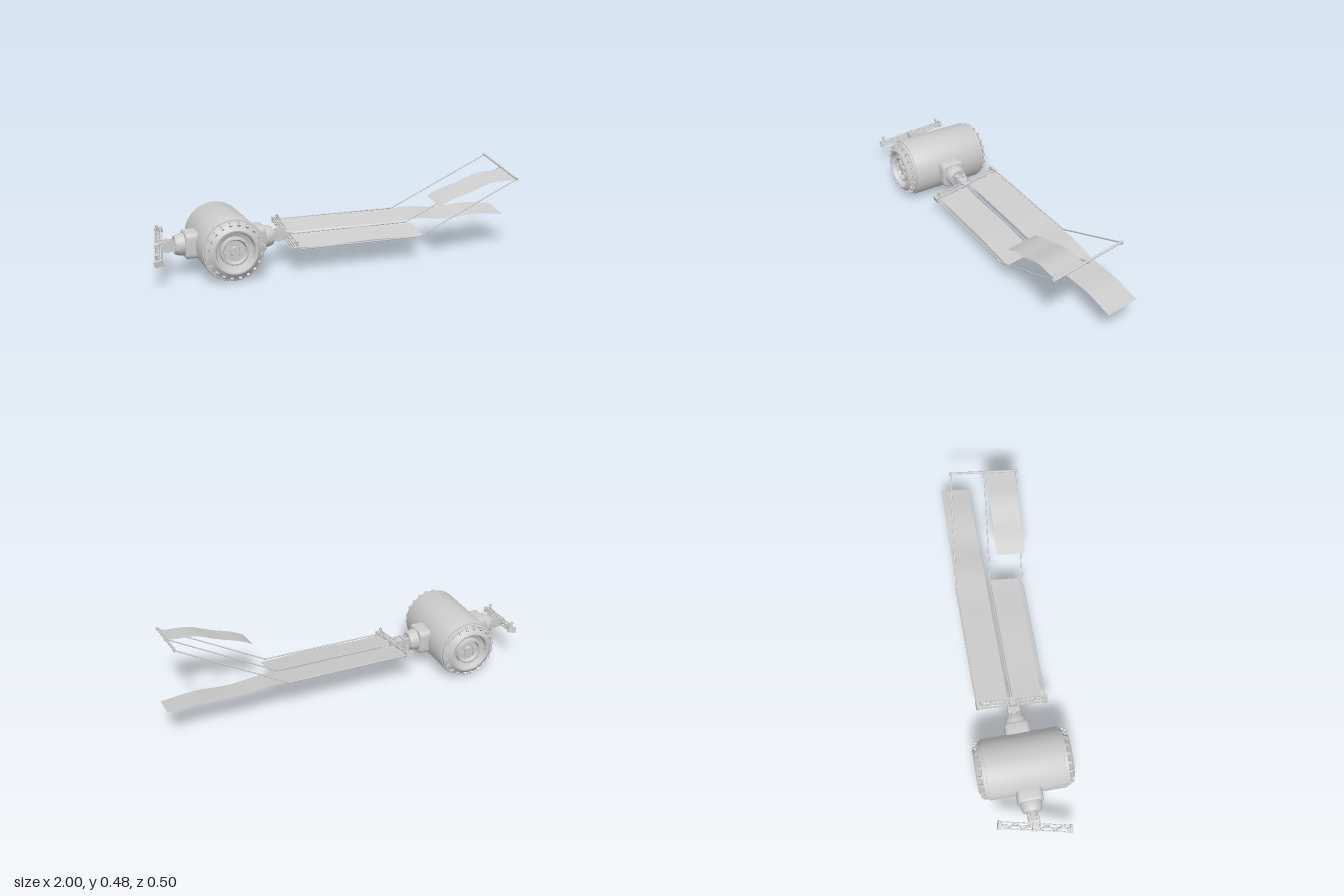
import * as THREE from 'three';
import { toCreasedNormals } from 'three/addons/utils/BufferGeometryUtils.js';

const mat = new THREE.MeshStandardMaterial({ color: 0xcccccc, side: THREE.DoubleSide });
const CY = 0.157, BX = -0.61, TILT = 0.19;
const V = (x, y, z) => new THREE.Vector3(x, y, z);

function add(parent, name, geo, x = 0, y = 0, z = 0) {
  const m = new THREE.Mesh(geo, mat);
  m.name = name;
  m.position.set(x, y, z);
  parent.add(m);
  return m;
}
const box = (w, h, d) => new THREE.BoxGeometry(w, h, d);

// Round bar between two points
function bar(parent, name, a, b, r, sides = 8) {
  const d = b.clone().sub(a);
  const m = add(parent, name, new THREE.CylinderGeometry(r, r, d.length(), sides));
  m.position.copy(a).add(b).multiplyScalar(0.5);
  m.quaternion.setFromUnitVectors(V(0, 1, 0), d.normalize());
  return m;
}

function lathe(points, sides = 64) {
  const g = new THREE.LatheGeometry(points.map(p => new THREE.Vector2(p[0], p[1])), sides);
  return toCreasedNormals(g, 0.6).rotateX(Math.PI / 2);
}

// Square with rounded corners, extruded along +x
function roundedBlock(half, corner, depth, bevel) {
  const s = new THREE.Shape(), h = half - bevel, c = corner;
  s.moveTo(-h + c, -h);
  s.lineTo(h - c, -h); s.quadraticCurveTo(h, -h, h, -h + c);
  s.lineTo(h, h - c); s.quadraticCurveTo(h, h, h - c, h);
  s.lineTo(-h + c, h); s.quadraticCurveTo(-h, h, -h, h - c);
  s.lineTo(-h, -h + c); s.quadraticCurveTo(-h, -h, -h + c, -h);
  const g = new THREE.ExtrudeGeometry(s, { depth: depth - 2 * bevel, bevelSize: bevel, bevelThickness: bevel, bevelSegments: 3, curveSegments: 6 });
  return toCreasedNormals(g.translate(0, 0, bevel), 0.7).rotateY(Math.PI / 2);
}

// Domed end with stepped docking ring, clamps and hatch, facing +z
function endCap(name) {
  const g = new THREE.Group();
  g.name = name;
  add(g, 'dockingRing', lathe([[0.148, 0.198], [0.148, 0.212], [0.137, 0.217], [0.122, 0.234], [0.108, 0.243], [0.1, 0.241],
    [0.092, 0.218], [0.073, 0.21], [0.07, 0.228], [0.061, 0.23], [0.053, 0.213], [0, 0.213]]));
  for (let i = 0; i < 20; i++) {
    const pivot = new THREE.Group();
    pivot.name = 'clamp';
    pivot.rotation.z = (i + 0.5) * Math.PI / 10;
    const c = add(pivot, 'clampBlock', box(0.013, 0.022, 0.01), 0, 0.131, 0.226);
    c.rotation.x = 0.8;
    add(pivot, 'clampFoot', box(0.009, 0.008, 0.016), 0, 0.143, 0.217);
    g.add(pivot);
  }
  // Hatch
  const hub = add(g, 'hatchHub', new THREE.CylinderGeometry(0.022, 0.026, 0.014, 20), 0, 0, 0.22);
  hub.rotation.x = Math.PI / 2;
  for (let i = 0; i < 3; i++) {
    const arm = add(g, 'hatchArm', box(0.1, 0.008, 0.008), 0, 0, 0.218);
    arm.rotation.z = i * Math.PI / 3 + 0.2;
  }
  for (const s of [-1, 1]) add(g, 'hatchHandle', box(0.006, 0.045, 0.008), s * 0.024, 0, 0.228);
  return g;
}

// Housing, collar and rotating joint, pointing along +x from the body axis
function sideHub(name, jointEnd) {
  const g = new THREE.Group();
  g.name = name;
  add(g, 'housing', roundedBlock(0.066, 0.022, 0.1, 0.008), 0.105);
  add(g, 'collar', lathe([[0.056, 0.2], [0.056, 0.225], [0.05, 0.243], [0.046, 0.252], [0.036, 0.252], [0.033, 0.238], [0, 0.238]], 32).rotateY(Math.PI / 2));
  bar(g, 'jointShaft', V(0.235, 0, 0), V(jointEnd, 0, 0), 0.016, 16);
  const mid = (0.245 + jointEnd) / 2, len = jointEnd - 0.245;
  for (const s of [-1, 1]) {
    add(g, 'jointCheek', box(len, 0.05, 0.006), mid, 0, s * 0.025);
    add(g, 'jointBridge', box(0.012, 0.006, 0.056), mid, s * 0.027, 0);
  }
  const drum = add(g, 'jointDrum', new THREE.CylinderGeometry(0.021, 0.021, 0.06, 16), mid + 0.01);
  drum.rotation.x = Math.PI / 2;
  return g;
}

// Lattice crossbeam running along z
function crossbeam(name) {
  const g = new THREE.Group();
  g.name = name;
  const L = 0.365, n = 9, step = L / n;
  for (const x of [-0.016, 0.016]) for (const y of [-0.009, 0.009]) add(g, 'rail', box(0.005, 0.005, L), x, y, 0);
  for (let i = 0; i < n; i++) {
    const z0 = -L / 2 + i * step, s = i % 2 ? 1 : -1;
    for (const y of [-0.009, 0.009]) bar(g, 'diagonal', V(-0.016 * s, y, z0), V(0.016 * s, y, z0 + step), 0.0025, 6);
    for (const x of [-0.016, 0.016]) {
      bar(g, 'sideDiagonal', V(x, -0.009 * s, z0), V(x, 0.009 * s, z0 + step), 0.002, 6);
    }
  }
  add(g, 'spine', box(0.008, 0.012, L), 0, 0, 0);
  for (const s of [-1, 1]) {
    add(g, 'endBlock', box(0.042, 0.03, 0.014), 0, 0, s * 0.184);
    // Small upright fixtures
    bar(g, 'post', V(0, 0.01, s * 0.165), V(0, 0.028, s * 0.165), 0.004);
    bar(g, 'postHead', V(0, 0.026, s * 0.165), V(0, 0.038, s * 0.165), 0.008, 10);
  }
  add(g, 'centreClamp', box(0.042, 0.03, 0.03));
  return g;
}

// Thin rippled sheet: edges(x) gives the two edge points
function sheet(name, x0, x1, edges, parent) {
  const g = new THREE.PlaneGeometry(1, 1, 48, 4), p = g.attributes.position;
  for (let i = 0; i < p.count; i++) {
    const x = x0 + (p.getX(i) + 0.5) * (x1 - x0);
    const [a, b] = edges(x);
    const q = a.lerp(b, 0.5 - p.getY(i));
    p.setXYZ(i, q.x, q.y, q.z);
  }
  g.computeVertexNormals();
  add(parent, name, g);
}

export function createModel() {
  const root = new THREE.Group();
  root.name = 'damagedStationModule';

  // Pressure hull
  const hull = new THREE.Group();
  hull.name = 'hull';
  hull.position.set(BX, CY, 0);
  root.add(hull);
  add(hull, 'hullShell', lathe([[0, -0.204], [0.145, -0.204], [0.153, -0.203], [0.1565, -0.195], [0.1565, 0.192], [0.153, 0.2], [0, 0.2]]));
  hull.add(endCap('frontCap'));
  const back = endCap('backCap');
  back.rotation.y = Math.PI;
  back.position.z = -0.004;
  hull.add(back);

  // Buckled seam behind the rear rim
  const seam = new THREE.TorusGeometry(0.141, 0.007, 8, 72), sp = seam.attributes.position;
  for (let i = 0; i < sp.count; i++) {
    const a = Math.atan2(sp.getY(i), sp.getX(i));
    sp.setZ(i, sp.getZ(i) - 0.213 + 0.006 * Math.sin(5 * a) + 0.003 * Math.sin(9 * a));
  }
  seam.computeVertexNormals();
  add(hull, 'buckledSeam', seam);

  // Side hubs
  hull.add(sideHub('leftHub', 0.32));
  const rightHub = sideHub('rightHub', 0.325);
  rightHub.rotation.y = Math.PI;
  hull.add(rightHub);

  // Crossbeams
  const leftBeam = crossbeam('leftCrossbeam');
  leftBeam.position.set(-0.28, CY, 0);
  leftBeam.rotation.x = TILT;
  root.add(leftBeam);
  const rightBeam = crossbeam('rightCrossbeam');
  rightBeam.position.set(-0.938, CY, 0);
  rightBeam.rotation.set(TILT, -0.19, 0.25, 'YXZ');
  root.add(rightBeam);

  // Bent array rods and their end bar
  const tiltY = z => CY - z * Math.tan(TILT);
  const tips = [[-0.186, 0.472, -0.117], [0, 0.436, 0.063], [0.178, 0.402, 0.238]];
  for (const [z, ty, tz] of tips) {
    const foot = V(-0.27, tiltY(z), z), knee = V(0.39, tiltY(z) + 0.002, z), tip = V(0.925, ty, tz);
    bar(root, 'arrayRod', foot, knee, 0.0035);
    bar(root, 'bentRod', knee, tip, 0.0035);
    add(root, 'rodKnee', new THREE.SphereGeometry(0.0045, 8, 6), 0.39, knee.y, z);
    const collar = add(root, 'rodCollar', box(0.014, 0.014, 0.012), 0.925, ty, tz);
    collar.rotation.x = TILT;
  }
  bar(root, 'arrayEndBar', V(0.925, 0.476, -0.12), V(0.925, 0.4, 0.247), 0.006, 10);

  // Long, short and torn-off solar blankets
  const ripple = x => 0.007 * Math.sin(x * 17) * THREE.MathUtils.smoothstep(x, 0.1, 0.6);
  sheet('longBlanket', -0.262, 1, x => {
    const s = THREE.MathUtils.smoothstep(x, 0.4, 1), dy = ripple(x) - 0.008 * s;
    return [V(x, tiltY(-0.182) + dy, -0.182 + 0.008 * s), V(x, tiltY(-0.02) + dy, -0.02)];
  }, root);
  sheet('shortBlanket', -0.262, 0.422, x => {
    const dy = 0.003 * Math.sin(x * 12);
    return [V(x, tiltY(0.008) + dy, 0.008), V(x, tiltY(0.162) + dy, 0.162)];
  }, root);
  sheet('looseBlanket', 0.49, 0.925, x => {
    const t = (x - 0.49) / 0.435;
    const y = 0.308 + 0.118 * Math.sin(t * Math.PI / 2) + 0.004 * Math.sin(t * 12);
    return [V(x, y, 0.055 + 0.019 * t), V(x, y - 0.027, 0.209 + 0.019 * t)];
  }, root);

  return root;
}
